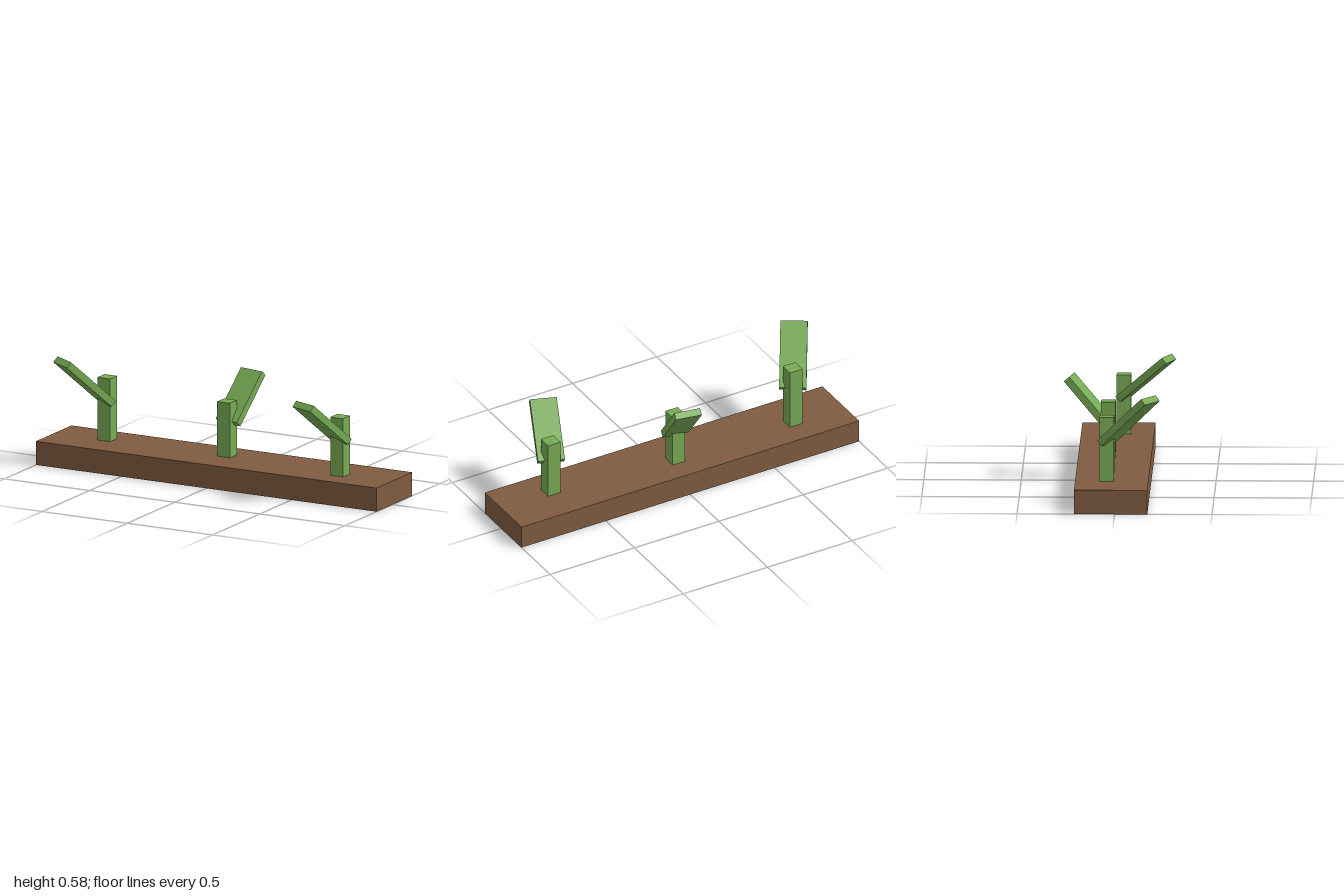
import * as THREE from 'three';

const deg = THREE.MathUtils.degToRad;

// Box standing on y = 0 with no bottom face
function openBox(w, h, d) {
  const g = new THREE.BoxGeometry(w, h, d);
  const idx = Array.from(g.index.array);
  idx.splice(18, 6); // the six indices of the -y face
  g.setIndex(idx);
  g.clearGroups();
  return g.translate(0, h / 2, 0);
}

export function createModel() {
  const soil = new THREE.MeshStandardMaterial({ color: 0x7f5c41, side: THREE.DoubleSide });
  soil.name = 'soilBrown';
  const green = new THREE.MeshStandardMaterial({ color: 0x77ab54 });
  green.name = 'leafGreen';

  const model = new THREE.Group();
  model.name = 'seedlingBed';

  const add = (parent, name, geometry, material, x, y, z) => {
    const mesh = new THREE.Mesh(geometry, material);
    mesh.name = name;
    mesh.position.set(x, y, z);
    parent.add(mesh);
    return mesh;
  };

  // Soil bed, hollow underneath
  const bedTop = 0.125;
  add(model, 'soilBed', openBox(2, bedTop, 0.376), soil, 0, 0, -0.02);

  // Each seedling: a square stem and one slanted leaf
  const seedlings = [
    { name: 'rightSeedling', x: -0.7, z: -0.046, height: 0.332, leaf: [-0.07, 0.322, 0.113], length: 0.357, yaw: -31.5, tilt: 42 },
    { name: 'middleSeedling', x: 0, z: -0.0525, height: 0.289, leaf: [0.0225, 0.2905, -0.1025], length: 0.308, yaw: 169.7, tilt: 48.8 },
    { name: 'leftSeedling', x: 0.7, z: 0.0125, height: 0.308, leaf: [-0.043, 0.2935, 0.1125], length: 0.335, yaw: -20.5, tilt: 40.3 },
  ];
  for (const s of seedlings) {
    const plant = new THREE.Group();
    plant.name = s.name;
    plant.position.set(s.x, bedTop, s.z);
    add(plant, 'stem', openBox(0.074, s.height, 0.075), green, 0, 0, 0);
    const leaf = add(plant, 'leaf', new THREE.BoxGeometry(0.14, 0.037, s.length), green, ...s.leaf);
    leaf.rotation.set(-deg(s.tilt), deg(s.yaw), 0, 'YXZ');
    model.add(plant);
  }
  return model;
}
